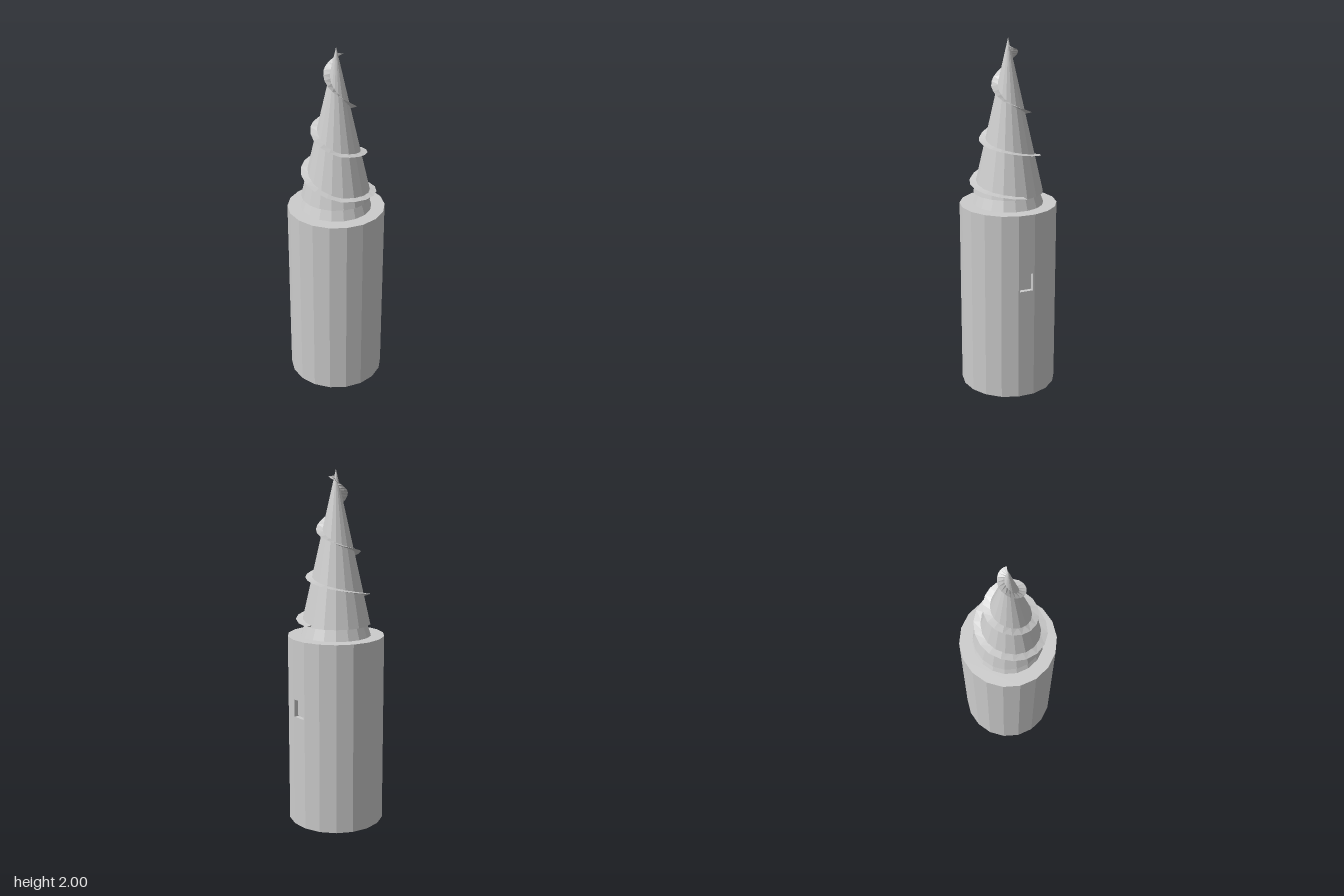
import * as THREE from 'three';

const SIDES = 18;
const BODY_R = 0.273, BODY_TOP = 1.085;
const CONE_R = 0.195, CONE_BASE = 1.15, TOP = 2;

const material = new THREE.MeshStandardMaterial({ color: 0xcccccc, flatShading: true });

function part(name, geometry, y = 0) {
  const mesh = new THREE.Mesh(geometry, material);
  mesh.name = name;
  mesh.position.y = y;
  return mesh;
}

// Prism section of the body; a notched one has a shallow pocket cut into one facet
function bodySection(height, notched) {
  const points = [];
  const step = (Math.PI * 2) / SIDES;
  for (let i = 0; i < SIDES; i++) {
    points.push(new THREE.Vector2(BODY_R * Math.cos(i * step), BODY_R * Math.sin(i * step)));
    if (notched && i === 1) {
      const mid = 1.5 * step, face = BODY_R * Math.cos(step / 2);
      const at = (depth, side) => new THREE.Vector2(face - depth, side)
        .rotateAround(new THREE.Vector2(), mid);
      points.push(at(0, -0.04), at(0.025, -0.04), at(0.025, 0.037), at(0, 0.037));
    }
  }
  return new THREE.ExtrudeGeometry(new THREE.Shape(points), { depth: height, bevelEnabled: false })
    .rotateX(-Math.PI / 2);
}

// Wedge-section spiral blade that climbs the cone
function threadGeometry() {
  // heights at each quarter turn, starting on the +x side
  const heights = [1.175, 1.215, 1.31, 1.36, 1.41, 1.455, 1.55, 1.6, 1.67, 1.77, 1.87, 1.935, 1.965];
  const heightAt = (turn) => {
    const q = turn * 4;
    const i = THREE.MathUtils.clamp(Math.floor(q), 0, heights.length - 2);
    return THREE.MathUtils.lerp(heights[i], heights[i + 1], q - i);
  };
  const start = -0.095, end = 2.96, steps = 55;
  const positions = [], index = [];
  for (let i = 0; i <= steps; i++) {
    const turn = start + ((end - start) * i) / steps;
    const a = turn * Math.PI * 2, y = heightAt(turn);
    const coneR = (CONE_R * (TOP - y)) / (TOP - CONE_BASE);
    const inner = Math.max(coneR - 0.008, 0);
    for (const [r, h] of [[inner, y + 0.006], [coneR + 0.036, y], [inner, y - 0.006]]) {
      positions.push(r * Math.cos(a), h, r * Math.sin(a));
    }
  }
  for (let i = 0; i < steps; i++) {
    for (let k = 0; k < 3; k++) {
      const n = (k + 1) % 3;
      const a = i * 3 + k, b = a + 3, c = i * 3 + 3 + n, d = i * 3 + n;
      index.push(a, b, c, a, c, d);
    }
  }
  const e = steps * 3;
  index.push(0, 1, 2, e, e + 2, e + 1);
  const geometry = new THREE.BufferGeometry();
  geometry.setAttribute('position', new THREE.Float32BufferAttribute(positions, 3));
  geometry.setIndex(index);
  geometry.computeVertexNormals();
  return geometry;
}

export function createModel() {
  const model = new THREE.Group();
  model.name = 'screwTippedCylinder';

  // Body, with a square pocket in one facet
  const body = new THREE.Group();
  body.name = 'body';
  const pocketLow = 0.645, pocketHigh = 0.745;
  body.add(
    part('lowerBody', bodySection(pocketLow, false)),
    part('pocketBand', bodySection(pocketHigh - pocketLow, true), pocketLow),
    part('upperBody', bodySection(BODY_TOP - pocketHigh, false), pocketHigh),
  );
  model.add(body);

  // Neck flaring down onto the body
  const neckHeight = CONE_BASE - BODY_TOP;
  model.add(part('neck',
    new THREE.CylinderGeometry(0.175, 0.198, neckHeight, SIDES, 1, true, Math.PI / 2),
    BODY_TOP + neckHeight / 2));

  // Pointed cone and its thread
  const coneHeight = TOP - CONE_BASE;
  model.add(part('cone',
    new THREE.ConeGeometry(CONE_R, coneHeight, SIDES, 1, false, Math.PI / 2),
    CONE_BASE + coneHeight / 2));
  model.add(part('thread', threadGeometry()));

  return model;
}
